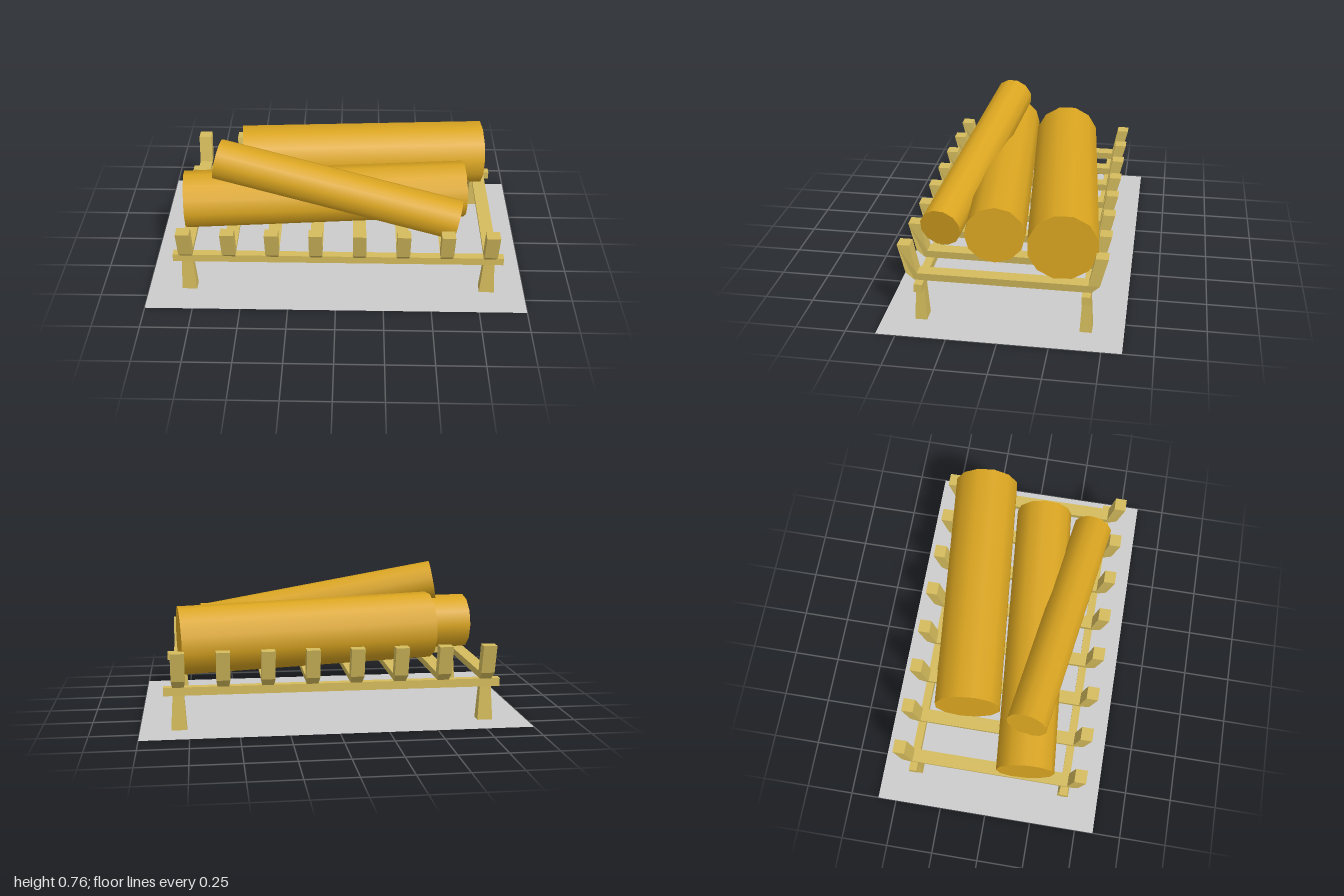
import * as THREE from 'three';

const wood = new THREE.MeshStandardMaterial({ color: 0xdaa520 });
const frame = new THREE.MeshStandardMaterial({ color: 0xd4bb5c, flatShading: true });
const grey = new THREE.MeshStandardMaterial({ color: 0xcccccc, side: THREE.DoubleSide });

function add(parent, name, geometry, material, x = 0, y = 0, z = 0) {
  const mesh = new THREE.Mesh(geometry, material);
  mesh.name = name;
  mesh.position.set(x, y, z);
  parent.add(mesh);
  return mesh;
}

// Cradle: crossbar with a bent upright at both ends, outlined in (z, y)
function cradleGeometry() {
  const half = [[0.435, 0.22], [0.475, 0.26], [0.512, 0.41], [0.45, 0.41], [0.42, 0.26]];
  const mirrored = half.map(([z, y]) => [-z, y]).reverse();
  const shape = new THREE.Shape([...half, ...mirrored].map(([z, y]) => new THREE.Vector2(z, y)));
  const geo = new THREE.ExtrudeGeometry(shape, { depth: 0.07, bevelEnabled: false });
  geo.translate(0, 0, -0.035).rotateY(-Math.PI / 2);
  // Narrow the underside a little
  const p = geo.attributes.position;
  for (let i = 0; i < p.count; i++) if (p.getY(i) < 0.23) p.setX(i, p.getX(i) * 0.85);
  geo.computeVertexNormals();
  return geo;
}

// Leg: straight neck beside the rail, flaring towards the foot
function legGeometry() {
  const geo = new THREE.BoxGeometry(1, 0.22, 1, 1, 2, 1).translate(0, 0.11, 0);
  const p = geo.attributes.position;
  for (let i = 0; i < p.count; i++) {
    const foot = p.getY(i) < 0.01;
    p.setX(i, p.getX(i) * (foot ? 0.08 : 0.058));
    p.setZ(i, p.getZ(i) * (foot ? 0.06 : 0.042));
    if (Math.abs(p.getY(i) - 0.11) < 0.01) p.setY(i, 0.175);
  }
  geo.computeVertexNormals();
  return geo;
}

// Log: twelve-sided cylinder between two end centres
function addLog(parent, name, a, b, radius, turn) {
  const from = new THREE.Vector3(...a), to = new THREE.Vector3(...b);
  const d = to.clone().sub(from), length = d.length();
  const geo = new THREE.CylinderGeometry(radius, radius, length, 12, 1, false, turn).rotateZ(-Math.PI / 2);
  const mid = from.add(to).multiplyScalar(0.5);
  const mesh = add(parent, name, geo, wood, mid.x, mid.y, mid.z);
  mesh.rotation.set(0, -Math.atan2(d.z, d.x), Math.asin(d.y / length), 'YZX');
}

export function createModel() {
  const model = new THREE.Group();
  model.name = 'logRack';

  add(model, 'ground', new THREE.PlaneGeometry(2, 1.2).rotateX(-Math.PI / 2), grey);

  // Frame
  const rack = new THREE.Group();
  rack.name = 'rack';
  model.add(rack);
  const cradle = cradleGeometry(), leg = legGeometry();
  const first = -0.785, last = 0.803, count = 8;
  for (let i = 0; i < count; i++) {
    add(rack, 'cradle', cradle, frame, first + (last - first) * i / (count - 1));
  }
  for (const z of [0.407, -0.413]) {
    add(rack, 'rail', new THREE.BoxGeometry(1.74, 0.043, 0.042), frame, 0.009, 0.199, z);
    for (const x of [first, last]) add(rack, 'leg', leg, frame, x, 0, z);
  }

  // Logs
  const logs = new THREE.Group();
  logs.name = 'logs';
  model.add(logs);
  const flat = Math.PI / 12;
  addLog(logs, 'backLog', [-0.53, 0.463, -0.163], [0.795, 0.433, -0.291], 0.176, flat);
  addLog(logs, 'middleLog', [-0.81, 0.412, 0.19], [0.68, 0.412, 0.06], 0.152, 0);
  addLog(logs, 'frontLog', [-0.625, 0.655, 0.166], [0.632, 0.407, 0.344], 0.107, flat);
  return model;
}
